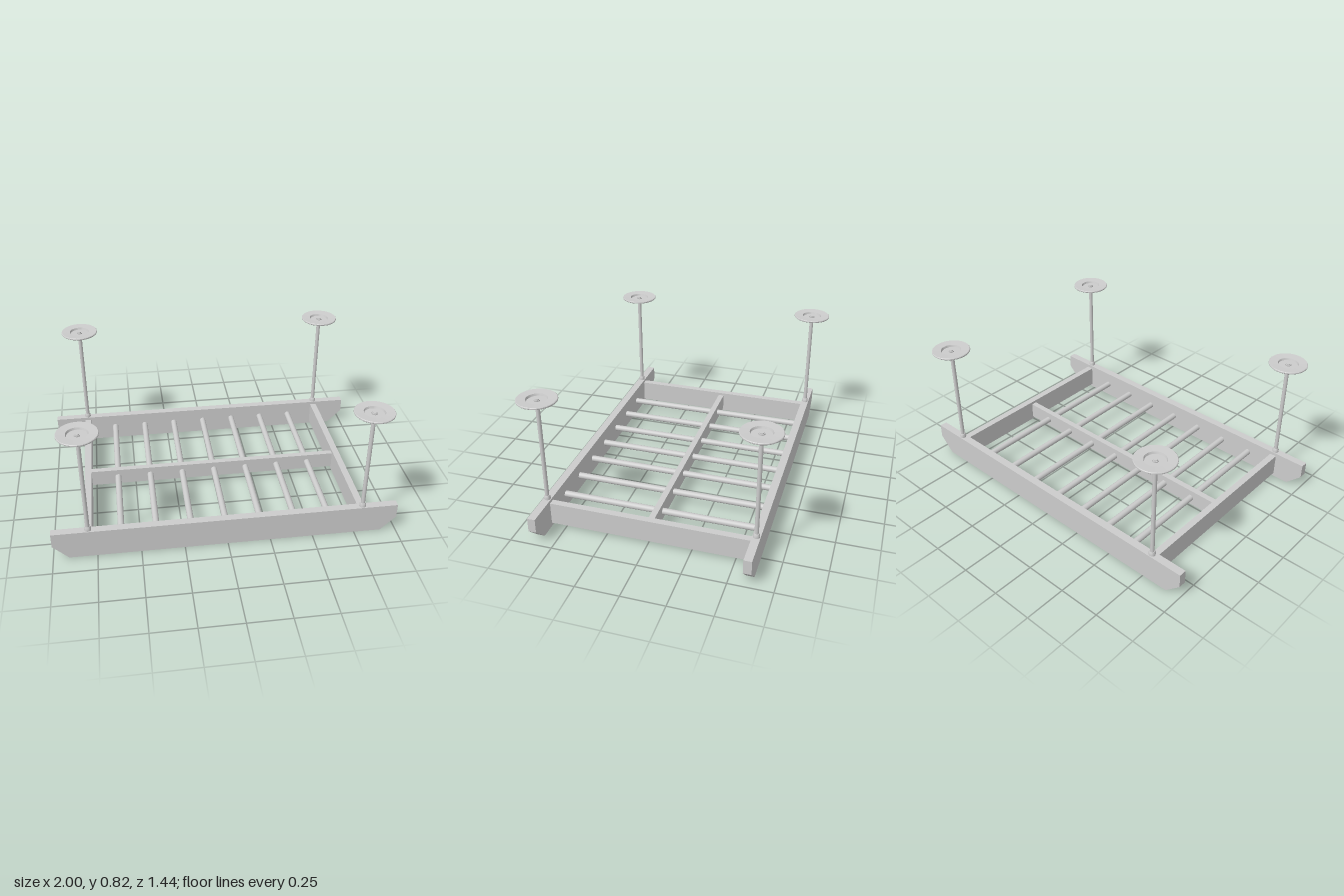
import * as THREE from 'three';
import { toCreasedNormals } from 'three/addons/utils/BufferGeometryUtils.js';

const material = new THREE.MeshStandardMaterial({ color: 0xcccccc });

export function createModel() {
  const model = new THREE.Group();
  model.name = 'hangingRack';

  const add = (name, geometry, x, y, z, parent = model) => {
    const mesh = new THREE.Mesh(geometry, material);
    mesh.name = name;
    mesh.position.set(x, y, z);
    parent.add(mesh);
    return mesh;
  };
  const lathe = (points, segments = 40) => toCreasedNormals(
    new THREE.LatheGeometry(points.map(([r, y]) => new THREE.Vector2(r, y)), segments), 0.5);

  // Long side rails with chamfered lower corners
  const railShape = new THREE.Shape([
    [-0.91, 0], [0.91, 0], [1, 0.088], [1, 0.173], [-1, 0.173], [-1, 0.088],
  ].map(([x, y]) => new THREE.Vector2(x, y)));
  const railDepth = 0.046;
  const railGeometry = new THREE.ExtrudeGeometry(railShape, { depth: railDepth, bevelEnabled: false });
  railGeometry.translate(0, 0, -railDepth / 2);
  add('frontRail', railGeometry, 0, 0, 0.606);
  add('backRail', railGeometry, 0, 0, -0.606);

  // Cross beams at both ends and the centre beam between them
  const endBeam = new THREE.BoxGeometry(0.04, 0.134, 1.168);
  add('leftEndBeam', endBeam, 0.793, 0.088, 0);
  add('rightEndBeam', endBeam, -0.793, 0.088, 0);
  add('centreBeam', new THREE.BoxGeometry(1.546, 0.1, 0.035), 0, 0.088, -0.005);

  // Round bars running from rail to rail
  const barGeometry = new THREE.CylinderGeometry(0.019, 0.019, 1.17, 20);
  barGeometry.rotateX(Math.PI / 2);
  for (let i = -3; i <= 3; i++) add('crossBar', barGeometry, i * 0.203, 0.088, 0);

  // Hangers: collar, rod, dished ceiling plate and nut
  const collarGeometry = lathe([
    [0, 0.17], [0.019, 0.17], [0.019, 0.188], [0.015, 0.198], [0, 0.198],
  ], 24);
  const rodGeometry = new THREE.CylinderGeometry(0.012, 0.012, 0.64, 20);
  const plateGeometry = lathe([
    [0, 0.796], [0.056, 0.796], [0.058, 0.804], [0.11, 0.806], [0.113, 0.809],
    [0.113, 0.815], [0.11, 0.818], [0.06, 0.815], [0.056, 0.803], [0, 0.803],
  ]);
  const nutGeometry = new THREE.CylinderGeometry(0.018, 0.018, 0.008, 6);
  for (const x of [-0.793, 0.793]) {
    for (const z of [-0.606, 0.606]) {
      const hanger = new THREE.Group();
      hanger.name = 'hanger';
      hanger.position.set(x, 0, z);
      add('collar', collarGeometry, 0, 0, 0, hanger);
      add('rod', rodGeometry, 0, 0.495, 0, hanger);
      add('ceilingPlate', plateGeometry, 0, 0, 0, hanger);
      add('nut', nutGeometry, 0, 0.806, 0, hanger);
      model.add(hanger);
    }
  }
  return model;
}
